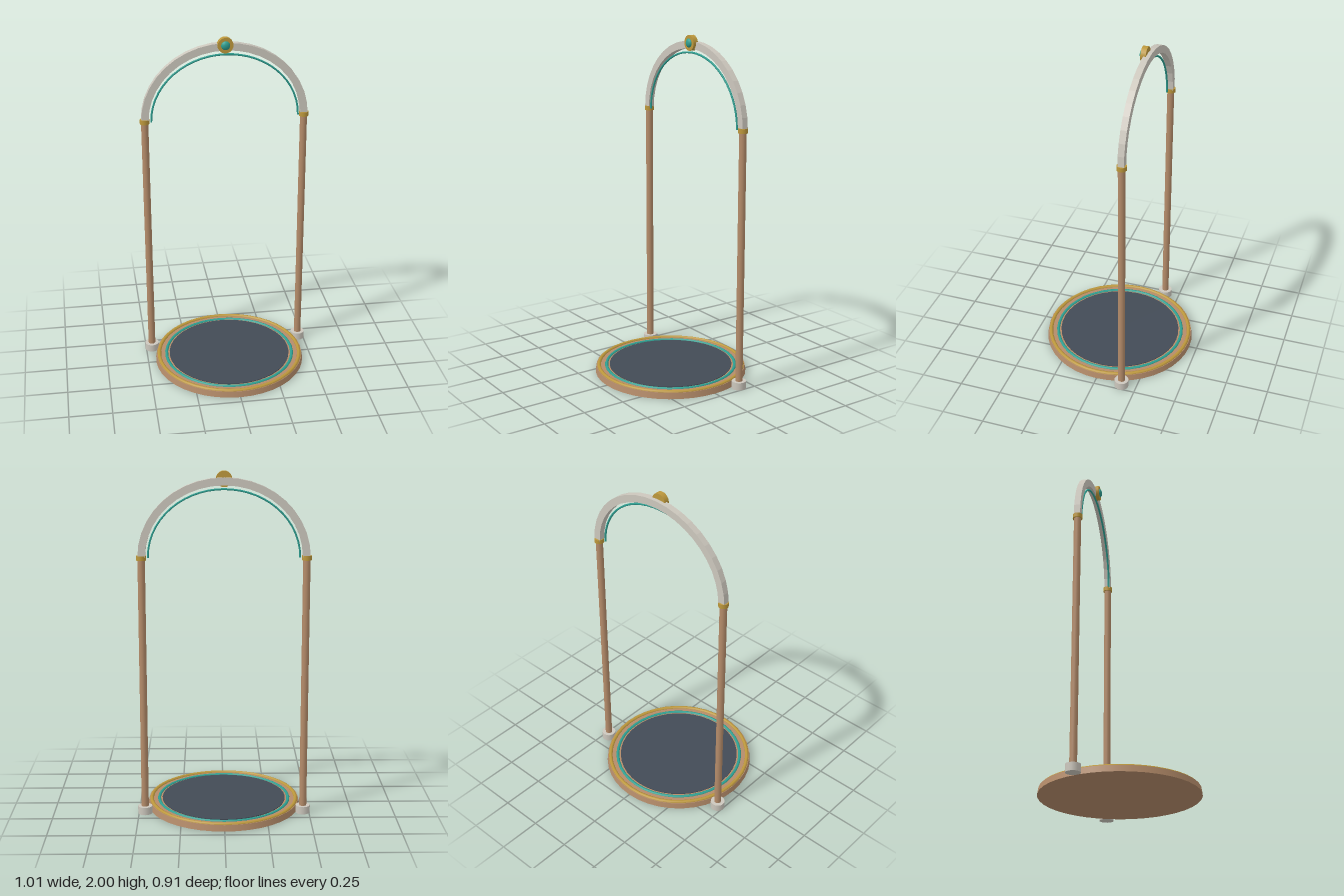
import * as THREE from 'three';

const mat = (name, color) => {
  const m = new THREE.MeshStandardMaterial({ color });
  m.name = name;
  return m;
};

export function createModel() {
  const wood = mat('wood', 0xb58c6a);
  const gold = mat('gold', 0xbd983c);
  const teal = mat('teal', 0x2fa092);
  const slate = mat('slate', 0x424b56);
  const stone = mat('pale stone', 0xccc7bd);

  const model = new THREE.Group();
  model.name = 'archedStand';
  const add = (name, geometry, material, x = 0, y = 0, z = 0) => {
    const mesh = new THREE.Mesh(geometry, material);
    mesh.name = name;
    mesh.position.set(x, y, z);
    model.add(mesh);
    return mesh;
  };

  const POST_X = 0.464, ARCH_Z = -0.162, SPRING_Y = 1.52;

  // Round platform with inlaid disc and two raised rings
  add('platform', new THREE.CylinderGeometry(0.447, 0.453, 0.036, 40), wood, 0, 0.018);
  add('platformInlay', new THREE.CylinderGeometry(0.368, 0.368, 0.008, 40), slate, 0, 0.036);
  const ring = (name, radius, tube, material) => {
    const geometry = new THREE.TorusGeometry(radius, tube, 8, 40).rotateX(Math.PI / 2);
    add(name, geometry, material, 0, 0.034);
  };
  ring('outerRing', 0.432, 0.012, gold);
  ring('innerRing', 0.387, 0.01, teal);

  // Posts with feet and collars, mirrored
  for (const [side, s] of [['left', 1], ['right', -1]]) {
    add(side + 'Foot', new THREE.CylinderGeometry(0.042, 0.042, 0.045, 16), stone, s * POST_X, 0.0225, ARCH_Z);
    add(side + 'Post', new THREE.CylinderGeometry(0.021, 0.021, 1.48, 12), wood, s * POST_X, 0.77, ARCH_Z);
    add(side + 'Collar', new THREE.CylinderGeometry(0.028, 0.028, 0.026, 16), gold, s * POST_X, 1.517, ARCH_Z);
  }

  // Half-elliptical arch with a rectangular section
  const halfEllipse = (rx, ry, n) => Array.from({ length: n + 1 }, (_, i) => {
    const a = (i / n) * Math.PI;
    return new THREE.Vector2(Math.cos(a) * rx, Math.sin(a) * ry);
  });
  const outline = [...halfEllipse(0.484, 0.445, 20), ...halfEllipse(0.442, 0.402, 20).reverse()];
  const archGeometry = new THREE.ExtrudeGeometry(new THREE.Shape(outline), { depth: 0.036, bevelEnabled: false });
  add('arch', archGeometry, stone, 0, SPRING_Y, ARCH_Z - 0.018);

  // Thin trim following the inside of the arch
  const trimPath = new THREE.CatmullRomCurve3(
    halfEllipse(0.427, 0.382, 24).map((p) => new THREE.Vector3(p.x, p.y, 0)));
  add('archTrim', new THREE.TubeGeometry(trimPath, 28, 0.006, 6), teal, 0, SPRING_Y - 0.003, -0.149);

  // Medallion and gem at the crown
  add('medallion', new THREE.CylinderGeometry(0.045, 0.045, 0.031, 20).rotateX(Math.PI / 2), gold, 0, 1.955, -0.1425);
  add('gem', new THREE.SphereGeometry(0.026, 14, 10).scale(1, 1, 0.6), teal, 0, 1.955, -0.128);

  return model;
}
